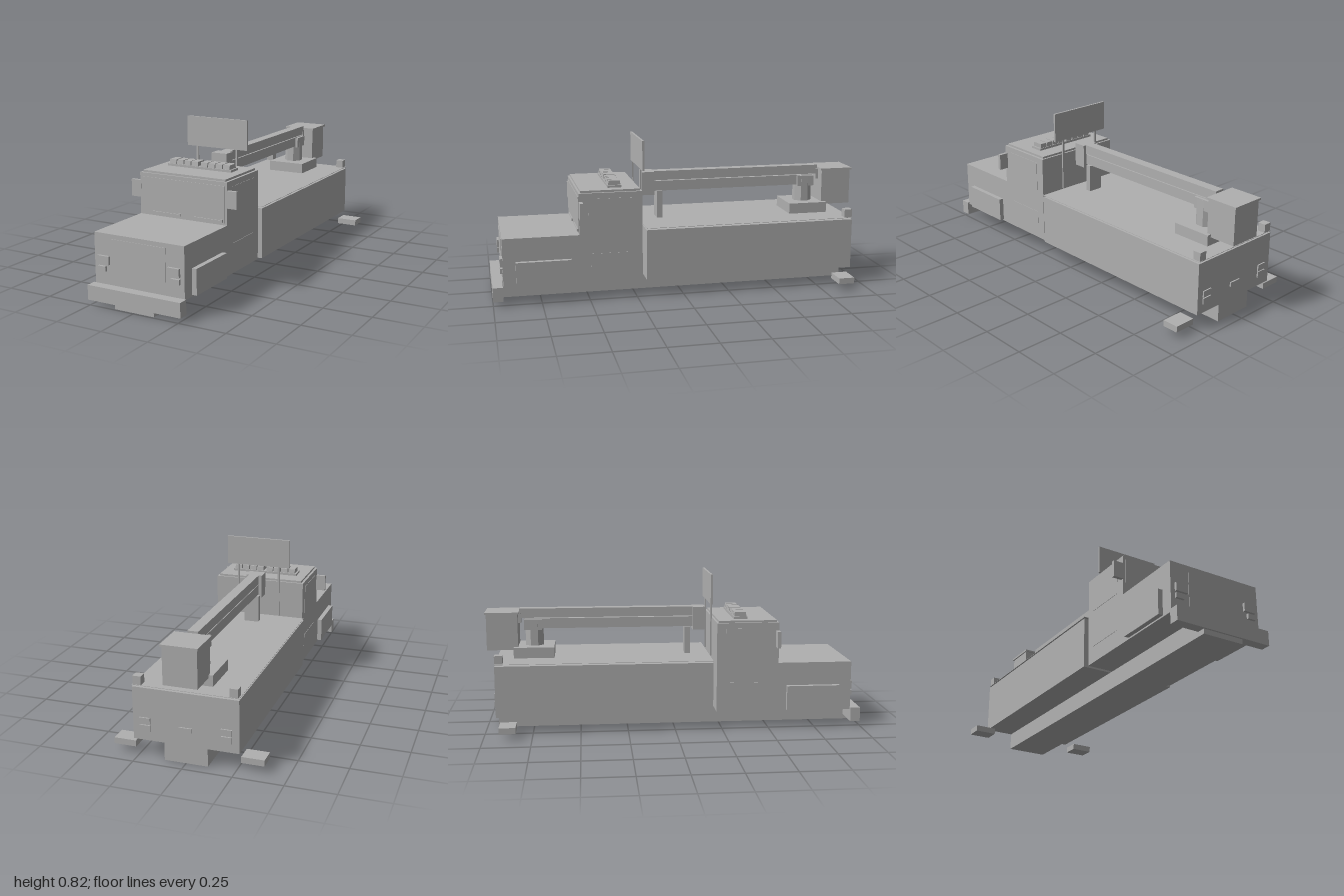
import * as THREE from 'three';

const bodyGrey = new THREE.MeshStandardMaterial({ color: 0xb0b0b0 });
bodyGrey.name = 'bodyGrey';

export function createModel() {
  const model = new THREE.Group();
  model.name = 'bucketTruck';

  // Box given by its limits on each axis
  const box = (name, x0, x1, y0, y1, z0, z1) => {
    const mesh = new THREE.Mesh(new THREE.BoxGeometry(x1 - x0, y1 - y0, z1 - z0), bodyGrey);
    mesh.position.set((x0 + x1) / 2, (y0 + y1) / 2, (z0 + z1) / 2);
    mesh.name = name;
    model.add(mesh);
    return mesh;
  };
  // Box mirrored to both sides of x = 0
  const pair = (name, x0, x1, ...rest) => {
    box(name + 'Left', x0, x1, ...rest);
    box(name + 'Right', -x1, -x0, ...rest);
  };

  // Chassis and bumper
  box('chassis', -0.11, 0.11, 0, 0.092, -0.94, 0.99);
  box('bumper', -0.262, 0.262, 0.025, 0.1, 0.948, 1);

  // Hood and cab
  box('hood', -0.253, 0.253, 0.092, 0.353, 0.55, 0.945);
  box('cab', -0.253, 0.253, 0.092, 0.57, 0.22, 0.55);
  box('roof', -0.24, 0.24, 0.57, 0.581, 0.23, 0.54);
  box('windshield', -0.24, 0.24, 0.363, 0.55, 0.55, 0.553);
  box('grille', -0.152, 0.152, 0.124, 0.33, 0.945, 0.948);
  pair('headlight', 0.165, 0.23, 0.2, 0.243, 0.945, 0.958);
  pair('turnSignal', 0.185, 0.23, 0.165, 0.191, 0.945, 0.958);
  pair('fender', 0.253, 0.278, 0.1, 0.23, 0.595, 0.88);
  pair('sideWindow', 0.253, 0.255, 0.38, 0.54, 0.27, 0.5);
  pair('doorPanel', 0.253, 0.255, 0.18, 0.25, 0.27, 0.49);
  pair('mirror', 0.245, 0.306, 0.44, 0.528, 0.533, 0.551);

  // Wipers with their pivots
  for (const x of [-0.18, 0.06]) {
    box('wiperBlade', x, x + 0.16, 0.372, 0.377, 0.553, 0.558);
    box('wiperPivot', x + 0.16, x + 0.172, 0.367, 0.381, 0.553, 0.56);
  }

  // Roof light bar: base and eight tapered lamps
  box('lightBarBase', -0.187, 0.187, 0.581, 0.593, 0.318, 0.39);
  for (let i = 0; i < 8; i++) {
    const x = (i - 3.5) * 0.0435 + Math.sign(i - 3.5) * 0.006;
    const lamp = box('lightBarLamp', x - 0.019, x + 0.019, 0.593, 0.616, 0.321, 0.387);
    const p = lamp.geometry.attributes.position;
    for (let k = 0; k < p.count; k++) if (p.getY(k) > 0) p.setZ(k, p.getZ(k) * 0.9);
    lamp.geometry.computeVertexNormals();
  }

  // Service body, deck and rear details
  box('serviceBody', -0.267, 0.267, 0.092, 0.363, -0.94, 0.2);
  box('deck', -0.267, 0.267, 0.371, 0.373, -0.94, 0.2);
  pair('beacon', 0.22, 0.262, 0.374, 0.418, -0.94, -0.898);
  pair('tailLight', 0.178, 0.232, 0.177, 0.21, -0.947, -0.94);
  pair('reverseLight', 0.178, 0.232, 0.14, 0.172, -0.947, -0.94);
  box('licencePlate', -0.033, 0.033, 0.165, 0.187, -0.947, -0.94);
  pair('outrigger', 0.268, 0.383, 0.035, 0.067, -0.918, -0.832);

  // Sign board behind the cab
  pair('signPost', 0.112, 0.123, 0.374, 0.66, 0.2, 0.208);
  box('signBoard', -0.18, 0.18, 0.66, 0.818, 0.194, 0.205);

  // Crane pedestal and eight-sided turret
  box('pedestal', -0.108, 0.108, 0.373, 0.43, -0.85, -0.635);
  const turret = new THREE.Mesh(
    new THREE.CylinderGeometry(0.05, 0.052, 0.14, 8).rotateY(Math.PI / 8).toNonIndexed(), bodyGrey);
  turret.geometry.computeVertexNormals();
  turret.position.set(0, 0.498, -0.742);
  turret.name = 'turret';
  model.add(turret);
  pair('turretBracket', 0.03, 0.046, 0.515, 0.572, -0.795, -0.7);

  // Folded boom with its elbow and rest
  box('lowerBoom', -0.027, 0.027, 0.52, 0.574, -0.795, 0.12);
  box('upperBoom', -0.027, 0.027, 0.578, 0.628, -0.82, 0.12);
  box('boomElbow', -0.045, 0.045, 0.502, 0.628, 0.115, 0.183);
  box('boomRest', -0.04, 0.04, 0.373, 0.52, 0.07, 0.1);

  // Bucket with rim
  box('bucketBracket', -0.03, 0.03, 0.55, 0.605, -0.828, -0.812);
  box('bucket', -0.086, 0.086, 0.415, 0.606, -0.992, -0.827);
  box('bucketRim', -0.093, 0.093, 0.606, 0.617, -1, -0.82);

  return model;
}
